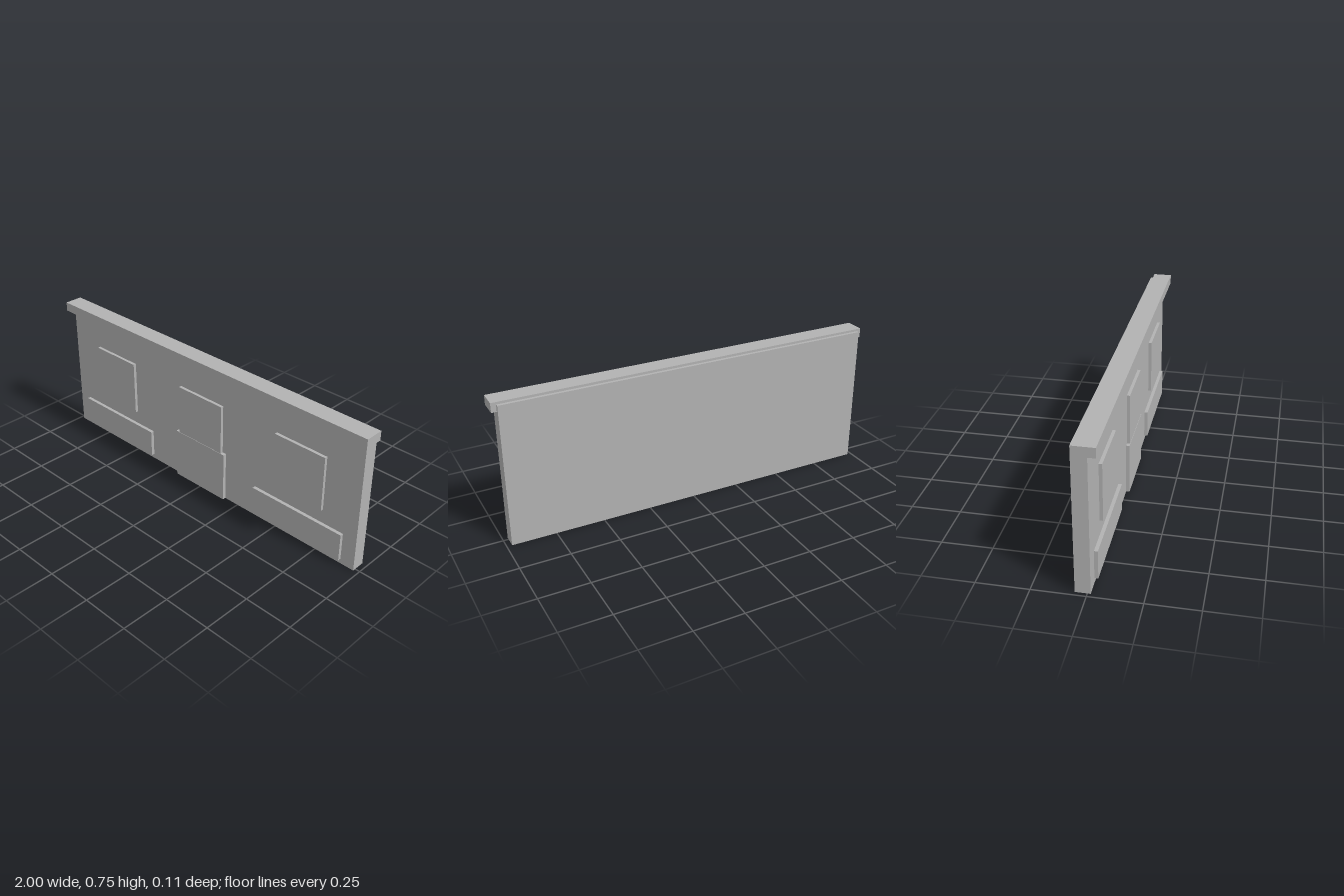
import * as THREE from 'three';

export function createModel() {
  const group = new THREE.Group();
  const plaster = new THREE.MeshStandardMaterial({ color: 0xb2b2b2 });
  plaster.name = 'plain grey';

  // Box given by its lower and upper limits on each axis
  function block(name, [x0, x1], [y0, y1], [z0, z1]) {
    const mesh = new THREE.Mesh(new THREE.BoxGeometry(x1 - x0, y1 - y0, z1 - z0), plaster);
    mesh.position.set((x0 + x1) / 2, (y0 + y1) / 2, (z0 + z1) / 2);
    mesh.name = name;
    group.add(mesh);
  }
  const around = (centre, width) => [centre - width / 2, centre + width / 2];

  const mid = -0.003; // facade axis
  const wallFront = 0.015;
  const inset = 0.01; // raised parts are sunk a little into the wall

  // Wall slab and the cornice along its top
  block('wall', around(mid, 1.954), [0, 0.733], [-0.056, wallFront]);
  block('cornice', [-1, 1], [0.697, 0.745], [-0.04, 0.056]);

  // Door base with the square pane above it
  block('doorBase', around(mid, 0.337), [0, 0.27], [wallFront - inset, 0.0325]);
  block('doorPane', around(mid, 0.292), [0.247, 0.537], [wallFront - inset, 0.0307]);

  // Window and low panel on each side
  for (const [side, s] of [['right', -1], ['left', 1]]) {
    block(side + 'Window', around(mid + s * 0.634, 0.292), [0.247, 0.537], [wallFront - inset, 0.0307]);
    block(side + 'LowerPanel', around(mid + s * 0.634, 0.535), [0.026, 0.172], [wallFront - inset, 0.0325]);
  }
  return group;
}
